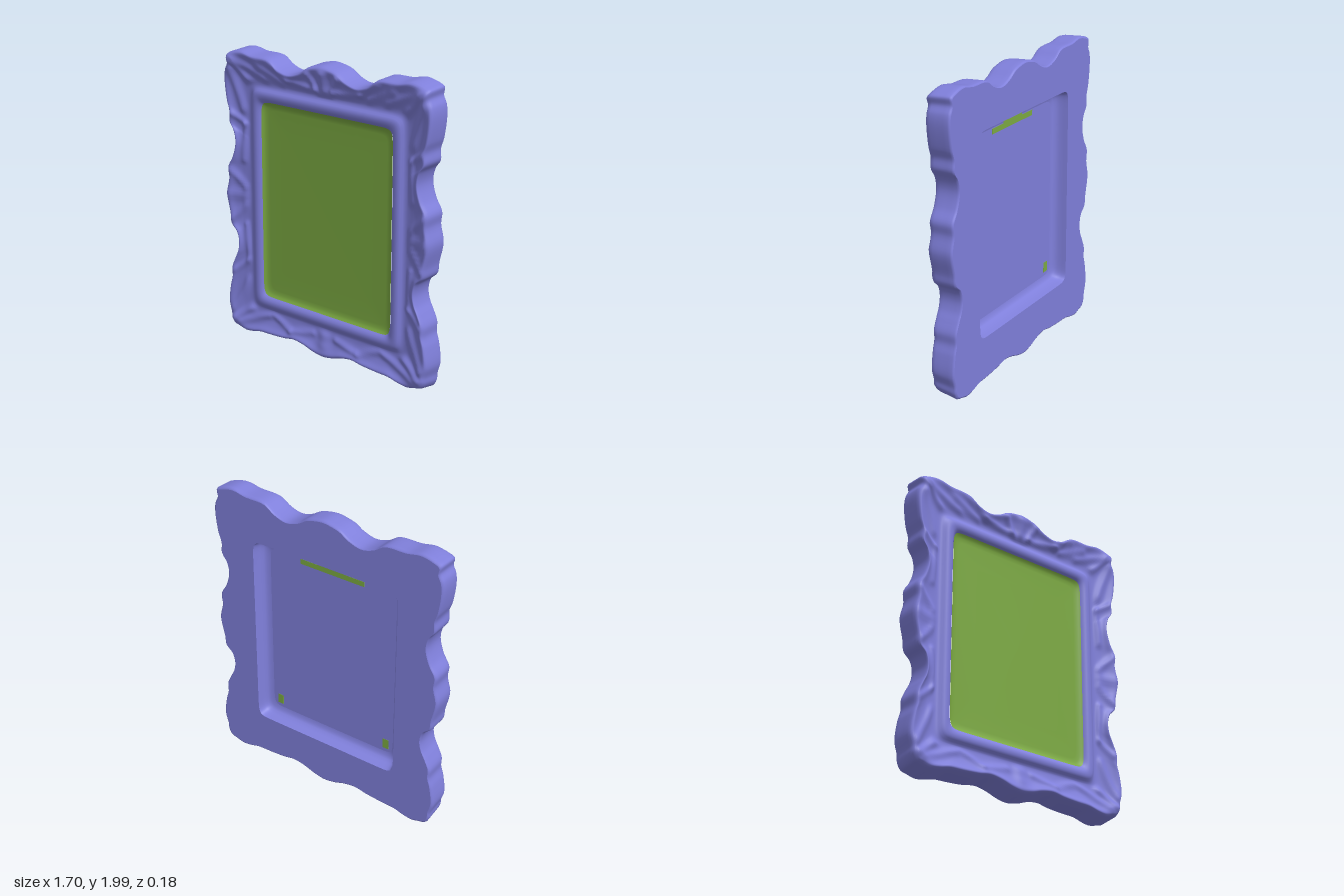
import * as THREE from 'three';

const CY = 1; // height of the frame's middle
const N = 480; // samples around the frame
const BACK = -0.095;

// Right half of the wavy outline, bottom centre to top centre
const HALF = [
  [0, 0.005], [0.08, 0.018], [0.16, 0.045], [0.25, 0.06], [0.34, 0.045], [0.46, 0.035], [0.56, 0.03],
  [0.64, 0.01], [0.7, 0.003], [0.76, 0.018], [0.8, 0.03], [0.825, 0.07], [0.83, 0.12], [0.85, 0.2],
  [0.835, 0.33], [0.815, 0.4], [0.815, 0.47], [0.785, 0.54], [0.755, 0.6], [0.742, 0.67], [0.76, 0.74],
  [0.81, 0.79], [0.82, 0.86], [0.848, 1.0], [0.825, 1.11], [0.83, 1.19], [0.785, 1.27], [0.757, 1.37],
  [0.772, 1.45], [0.81, 1.51], [0.808, 1.58], [0.83, 1.65], [0.848, 1.79], [0.842, 1.86], [0.82, 1.91],
  [0.825, 1.96], [0.79, 1.98], [0.7, 2.0], [0.6, 1.983], [0.45, 1.975], [0.37, 1.925], [0.28, 1.9],
  [0.19, 1.925], [0.12, 1.968], [0.06, 1.985], [0, 1.993]
];
const mirrored = HALF.slice(1, -1).reverse().map(([x, y]) => [-x, y]);
const OUTLINE = new THREE.CatmullRomCurve3(
  [...HALF, ...mirrored].map(([x, y]) => new THREE.Vector3(x, y, 0)), true
).getPoints(N).slice(0, N);

// Carved ridges: x1, y1, x2, y2, width, height (mirrored in x)
const RIDGES = [
  [0.65, 1.8, 0.8, 1.94, 0.03, 0.02], [0.5, 1.83, 0.76, 1.93, 0.03, 0.016], [0.7, 1.6, 0.79, 1.86, 0.03, 0.016],
  [0.65, 0.2, 0.79, 0.08, 0.03, 0.02], [0.5, 0.18, 0.74, 0.07, 0.03, 0.014], [0.68, 0.4, 0.8, 0.16, 0.03, 0.016],
  [0.36, 1.83, 0.55, 1.91, 0.03, 0.015], [0.08, 1.82, 0.3, 1.85, 0.025, 0.015], [0.3, 1.85, 0.44, 1.93, 0.025, 0.012],
  [0, 1.79, 0, 1.93, 0.04, 0.026], [0.04, 1.79, 0.12, 1.92, 0.025, 0.018],
  [0, 0.1, 0, 0.17, 0.05, 0.016], [0.1, 0.16, 0.28, 0.12, 0.025, 0.012], [0.3, 0.12, 0.46, 0.2, 0.025, 0.012],
  [0.69, 1.0, 0.82, 1.0, 0.04, 0.014], [0.69, 1.06, 0.8, 1.17, 0.025, 0.014], [0.69, 0.94, 0.79, 0.83, 0.025, 0.014],
  [0.7, 1.25, 0.68, 1.5, 0.022, 0.012], [0.68, 1.5, 0.78, 1.56, 0.022, 0.012],
  [0.69, 0.8, 0.67, 0.55, 0.022, 0.012], [0.67, 0.55, 0.78, 0.46, 0.022, 0.012]
];

function relief(x, y) {
  const ax = Math.abs(x);
  let z = 0;
  for (const [x1, y1, x2, y2, w, h] of RIDGES) {
    const dx = x2 - x1, dy = y2 - y1;
    const t = THREE.MathUtils.clamp(((ax - x1) * dx + (y - y1) * dy) / (dx * dx + dy * dy), 0, 1);
    const d = Math.hypot(ax - x1 - t * dx, y - y1 - t * dy);
    z += h * Math.exp(-((d / w) ** 2));
  }
  return z;
}

// Point on the round-cornered opening, grown by d, that faces outline point p
function opening(p, d) {
  const u = p.x / 0.825, v = (p.y - CY) / 0.975;
  const m = (Math.abs(u) ** 24 + Math.abs(v) ** 24) ** (1 / 24);
  return new THREE.Vector3((u / m) * (0.54 + d), CY + (v / m) * (0.672 + d), 0);
}

// Ring makers: each returns a function from outline point to surface point
const rect = (d, z) => p => opening(p, d).setZ(z);
const centre = z => () => new THREE.Vector3(0, CY, z);
const carved = (g, z) => p => {
  const q = opening(p, 0.11).lerp(p, g);
  const fade = Math.min(1, g * 5) * Math.min(1, (1 - g) * 6);
  q.z = Math.min(z + relief(q.x, q.y) * fade, 0.088);
  return lean(q);
};
const edge = (inset, z) => p => lean(p.clone().lerp(opening(p, 0), inset).setZ(z));

// The lower edge leans back, and the upper edge very slightly
function lean(q) {
  const k = (q.z - BACK) / 0.18;
  q.y += 0.035 * k * Math.max(0, 1 - q.y / 0.3);
  q.y -= 0.012 * k * Math.max(0, (q.y - 1.7) / 0.3);
  return q;
}

function loft(name, rings, color) {
  const pos = [], index = [];
  for (const ring of rings) for (const p of OUTLINE) pos.push(...ring(p).toArray());
  for (let i = 0; i < rings.length - 1; i++) {
    for (let j = 0; j < N; j++) {
      const a = i * N + j, d = i * N + ((j + 1) % N);
      index.push(a, a + N, d + N, a, d + N, d);
    }
  }
  const geo = new THREE.BufferGeometry();
  geo.setAttribute('position', new THREE.Float32BufferAttribute(pos, 3));
  geo.setIndex(index);
  geo.computeVertexNormals();
  const mesh = new THREE.Mesh(geo, new THREE.MeshStandardMaterial({ color }));
  mesh.name = name;
  return mesh;
}

export function createModel() {
  const group = new THREE.Group();
  group.name = 'pictureFrame';
  const BLUE = 0x8080dc, GREEN = 0x7caa42;

  // Inner lip, scooped and carved face, outer wall
  const face = [[0, 0.03], [0.06, 0.03], [0.12, 0.031], [0.18, 0.032], [0.25, 0.034], [0.32, 0.036], [0.39, 0.038],
    [0.46, 0.041], [0.53, 0.045], [0.6, 0.049], [0.67, 0.054], [0.74, 0.06], [0.8, 0.066], [0.86, 0.071],
    [0.91, 0.073], [0.95, 0.07], [0.98, 0.06], [1, 0.04]];
  group.add(loft('frame', [
    rect(-0.005, 0.025), rect(0.004, 0.036), rect(0.012, 0.046), rect(0.025, 0.056), rect(0.042, 0.06),
    rect(0.06, 0.058), rect(0.074, 0.05), rect(0.085, 0.038), rect(0.097, 0.032),
    ...face.map(([g, z]) => carved(g, z)),
    edge(0, 0), edge(0, -0.05), edge(0, -0.08), edge(0.015, -0.091), edge(0.04, BACK)
  ], BLUE));

  // Flat back with a recess that curves into the backing board
  group.add(loft('backRim', [edge(0.04, BACK), rect(0.02, BACK), rect(0.005, BACK)], BLUE));
  group.add(loft('backRecess', [
    rect(0.005, BACK), rect(0, -0.07), rect(-0.006, -0.04), rect(-0.018, -0.018), rect(-0.035, -0.005), rect(-0.06, 0)
  ], BLUE));
  group.add(loft('backingBoard', [rect(-0.06, 0), centre(0)], BLUE));

  // Picture with softly upturned edges
  group.add(loft('picture', [
    centre(0.018), rect(-0.2, 0.018), rect(-0.05, 0.019), rect(-0.025, 0.022), rect(-0.01, 0.028), rect(0.002, 0.037)
  ], GREEN));

  // Slits in the backing board that show the picture
  const slit = (x, y, w, h) => {
    const mesh = new THREE.Mesh(new THREE.BoxGeometry(w, h, 0.004), new THREE.MeshStandardMaterial({ color: GREEN }));
    mesh.position.set(x, y, 0);
    mesh.name = 'backSlit';
    group.add(mesh);
  };
  slit(0, 1.59, 0.48, 0.035);
  slit(0, 1.6, 0.22, 0.05);
  for (const s of [-1, 1]) slit(s * 0.425, 0.45, 0.045, 0.07);

  return group;
}
